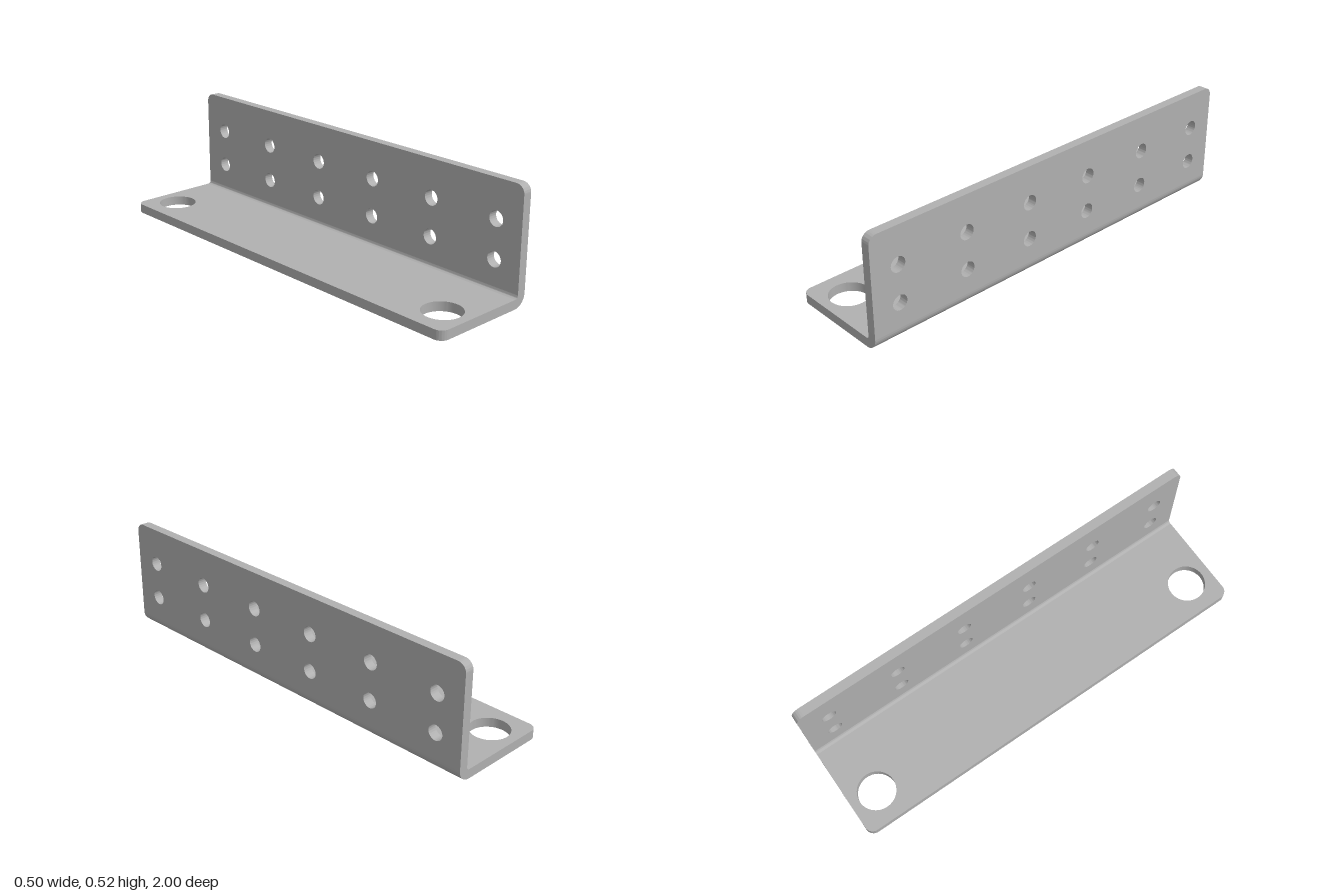
import * as THREE from 'three';
import { toCreasedNormals } from 'three/addons/utils/BufferGeometryUtils.js';

const T = 0.043;          // sheet thickness
const R_IN = 0.015;       // inner bend radius
const R_OUT = R_IN + T;   // outer bend radius
const HALF = 1;           // half length along z
const CORNER = 0.04;      // rounded free corners
const BEND_X = 0.25 - R_OUT;

function extrude(shape, depth) {
  return new THREE.ExtrudeGeometry(shape, { depth, bevelEnabled: false, curveSegments: 32 });
}

// Flat flange running from the bend line (x = 0) towards -x, y from 0 to T.
// Holes are [distance from bend line, z, radius].
function flangeGeometry(length, holes) {
  const s = new THREE.Shape();
  s.moveTo(0, -HALF);
  s.lineTo(0, HALF);
  s.lineTo(-length + CORNER, HALF);
  s.absarc(-length + CORNER, HALF - CORNER, CORNER, Math.PI / 2, Math.PI, false);
  s.lineTo(-length, -HALF + CORNER);
  s.absarc(-length + CORNER, -HALF + CORNER, CORNER, Math.PI, Math.PI * 1.5, false);
  s.closePath();
  for (const [u, z, r] of holes) {
    s.holes.push(new THREE.Path().absarc(-u, z, r, 0, Math.PI * 2, true));
  }
  const g = extrude(s, T).rotateX(Math.PI / 2).translate(0, T, 0);
  return toCreasedNormals(g, 0.5);
}

// Quarter-round bend joining the two flanges
function bendGeometry() {
  const s = new THREE.Shape();
  s.absarc(0, 0, R_OUT, -Math.PI / 2, 0, false);
  s.absarc(0, 0, R_IN, 0, -Math.PI / 2, true);
  s.closePath();
  return toCreasedNormals(extrude(s, HALF * 2).translate(0, 0, -HALF), 0.5);
}

export function createModel() {
  const steel = new THREE.MeshStandardMaterial({ color: 0xb0b0b0 });
  steel.name = 'greySteel';
  const group = new THREE.Group();
  group.name = 'angleBracket';
  const add = (name, geometry) => {
    const mesh = new THREE.Mesh(geometry, steel);
    mesh.name = name;
    group.add(mesh);
    return mesh;
  };

  // Base flange with a large mounting hole near each end
  const baseHoles = [-0.87, 0.87].map((z) => [BEND_X + 0.1, z, 0.088]);
  add('baseFlange', flangeGeometry(BEND_X + 0.25, baseHoles)).position.set(BEND_X, 0, 0);

  // Upright flange with two rows of six small holes
  const wallHoles = [];
  for (const y of [0.175, 0.35]) {
    for (let i = 0; i < 6; i++) wallHoles.push([y - R_OUT, (i - 2.5) * 0.348, 0.035]);
  }
  const wall = add('uprightFlange', flangeGeometry(0.523 - R_OUT, wallHoles));
  wall.rotation.z = -Math.PI / 2;
  wall.position.set(0.25 - T, R_OUT, 0);

  add('bend', bendGeometry()).position.set(BEND_X, R_OUT, 0);
  return group;
}
